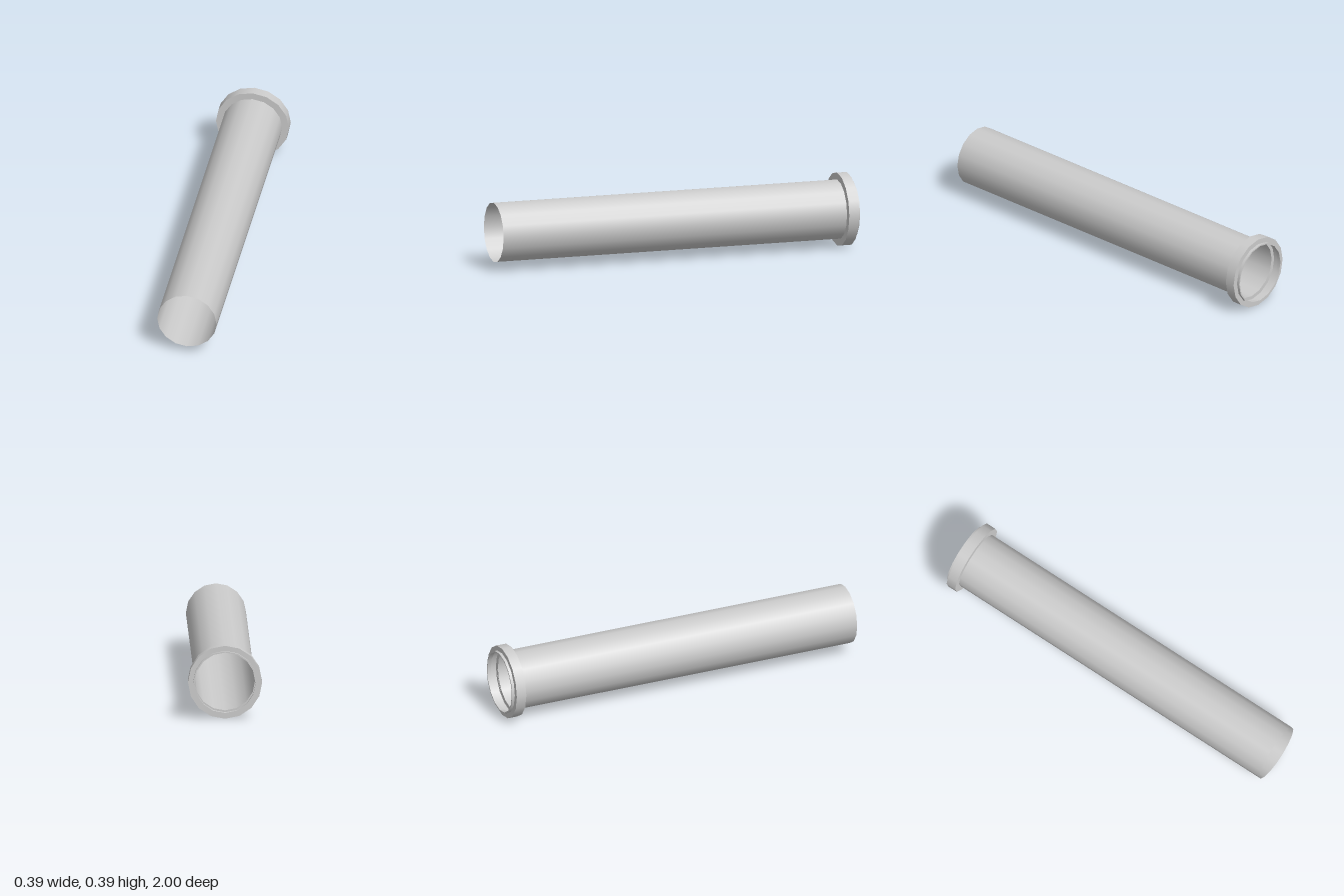
import * as THREE from 'three';
import { mergeGeometries } from 'three/addons/utils/BufferGeometryUtils.js';

const SIDES = 16;
const AXIS_Y = 0.197;
const material = new THREE.MeshStandardMaterial({ color: 0xcccccc, side: THREE.DoubleSide });

// Revolve [radius, z] points around the z axis: smooth around, crisp between bands.
function revolve(name, profile) {
  const bands = [];
  for (let i = 0; i < profile.length - 1; i++) {
    const pair = [profile[i], profile[i + 1]].map(([r, z]) => new THREE.Vector2(r, z));
    bands.push(new THREE.LatheGeometry(pair, SIDES));
  }
  const geometry = mergeGeometries(bands);
  geometry.rotateX(Math.PI / 2);
  const mesh = new THREE.Mesh(geometry, material);
  mesh.name = name;
  return mesh;
}

export function createModel() {
  const model = new THREE.Group();
  model.name = 'flangedPipe';

  // Long thin-walled pipe, open at the front
  const pipe = revolve('pipe', [[0.16, -0.94], [0.16, 1]]);

  // Raised collar around the back end
  const collar = revolve('collar', [[0.17, -0.985], [0.197, -0.985], [0.197, -0.93], [0.16, -0.93]]);

  // Narrow lip and the stepped seat inside it
  const lip = revolve('socketLip', [
    [0.16, -0.945], [0.175, -0.945], [0.175, -0.98], [0.163, -0.98],
    [0.163, -1], [0.17, -1], [0.17, -0.985],
  ]);

  const parts = [pipe, collar, lip];
  parts.forEach((part) => { part.position.y = AXIS_Y; });
  model.add(...parts);
  return model;
}
